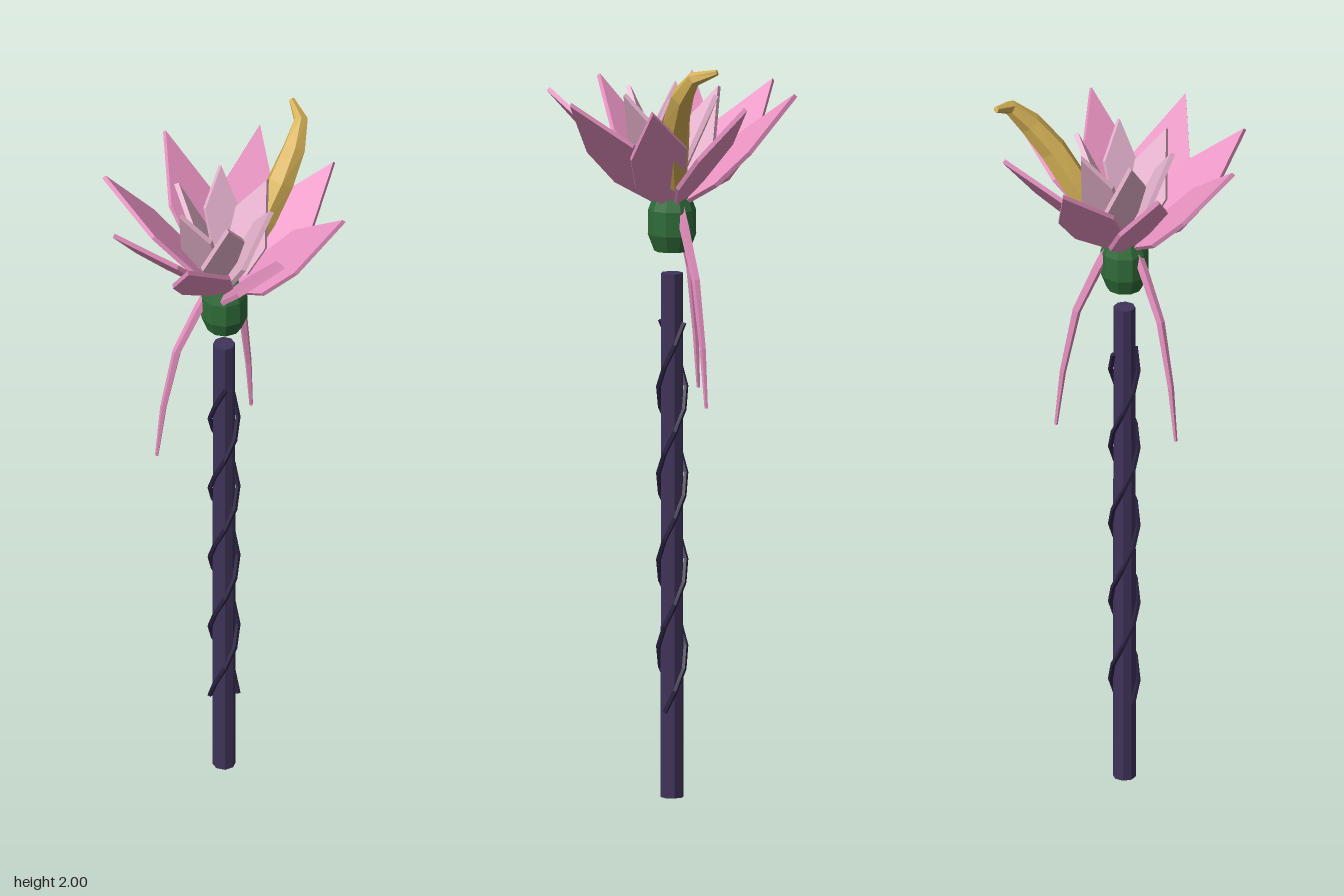
import * as THREE from 'three';

const mat = (color) => new THREE.MeshStandardMaterial({ color, flatShading: true });
const outerPink = mat(0xe892c1), innerPink = mat(0xe8b5cf), gold = mat(0xd4b056), paleGold = mat(0xe8cc6c);
const green = mat(0x2f6b38), purple = mat(0x40335a), darkPurple = mat(0x2a2140);

function mesh(name, geometry, material) {
  const m = new THREE.Mesh(geometry, material);
  m.name = name;
  return m;
}

// Closed low-poly tube through points, with one radius per point.
function loft(points, radii, sides) {
  const p = points.map((q) => new THREE.Vector3(...q));
  const last = p.length - 1, ref = new THREE.Vector3(1, 0, 0);
  const rings = p.map((c, i) => {
    const t = p[Math.min(i + 1, last)].clone().sub(p[Math.max(i - 1, 0)]).normalize();
    const n = ref.clone().cross(t).normalize(), b = t.clone().cross(n);
    return Array.from({ length: sides }, (_, j) => {
      const a = (j / sides) * Math.PI * 2;
      return c.clone().addScaledVector(n, Math.cos(a) * radii[i]).addScaledVector(b, Math.sin(a) * radii[i]);
    });
  });
  rings.unshift(rings[0].map(() => p[0]));
  rings.push(rings[0].map(() => p[last]));
  const verts = [];
  for (let i = 0; i < rings.length - 1; i++) {
    for (let j = 0; j < sides; j++) {
      const k = (j + 1) % sides;
      const [a, b, c, d] = [rings[i][j], rings[i][k], rings[i + 1][k], rings[i + 1][j]];
      for (const v of [a, b, c, a, c, d]) verts.push(v.x, v.y, v.z);
    }
  }
  const g = new THREE.BufferGeometry();
  g.setAttribute('position', new THREE.Float32BufferAttribute(verts, 3));
  g.computeVertexNormals();
  return g;
}

// Flat petal: outline in (lateral, radial), laid on a plane sloping up outward and rolled sideways.
function petalGeometry(outline, tip, slope, roll, thickness) {
  const shape = new THREE.Shape(outline.map(([x, y]) => new THREE.Vector2(x, y)));
  const g = new THREE.ExtrudeGeometry(shape, { depth: thickness, bevelEnabled: false });
  const pos = g.attributes.position;
  const n = new THREE.Vector3(-roll, 1, -slope).normalize();
  for (let i = 0; i < pos.count; i++) {
    const x = pos.getX(i), r = pos.getY(i), d = pos.getZ(i);
    const y = tip[1] + slope * (r - tip[0]) + roll * x;
    pos.setXYZ(i, x - n.x * d, y - n.y * d, r - n.z * d);
  }
  g.computeVertexNormals();
  return g;
}

function petalRing(name, geometry, material, count, startDegrees) {
  const ring = new THREE.Group();
  ring.name = name;
  for (let i = 0; i < count; i++) {
    const petal = mesh('petal', geometry, material);
    petal.rotation.y = THREE.MathUtils.degToRad(startDegrees + (i * 360) / count);
    ring.add(petal);
  }
  return ring;
}

export function createModel() {
  const model = new THREE.Group();
  model.name = 'flower';

  // Stem
  const stem = mesh('stem', new THREE.CylinderGeometry(0.029, 0.031, 1.4, 8), purple);
  stem.position.y = 0.7;
  model.add(stem);

  // Two vines winding round the stem
  for (const start of [0, Math.PI]) {
    const steps = 18, points = [];
    for (let i = 0; i <= steps; i++) {
      const a = start + (i * Math.PI) / 4;
      points.push([0.037 * Math.cos(a), 0.23 + (1.04 * i) / steps, -0.037 * Math.sin(a)]);
    }
    model.add(mesh('vine', loft(points, points.map(() => 0.007), 5), darkPurple));
  }

  // Calyx
  const calyxProfile = [[0, 1.455], [0.047, 1.46], [0.064, 1.505], [0.063, 1.57], [0.048, 1.61], [0, 1.62]];
  model.add(mesh('calyx', new THREE.LatheGeometry(calyxProfile.map(([x, y]) => new THREE.Vector2(x, y)), 10), green));

  // Petals
  const outer = petalGeometry(
    [[-0.02, 0.035], [0.02, 0.035], [0.045, 0.07], [0.066, 0.17], [0, 0.326], [-0.076, 0.216], [-0.078, 0.125]],
    [0.326, 1.887], 0.97, 0.5, 0.012);
  model.add(petalRing('outerPetals', outer, outerPink, 8, 23));
  const inner = petalGeometry(
    [[-0.02, 0.01], [0.02, 0.01], [0.045, 0.066], [0, 0.134], [-0.066, 0.085], [-0.05, 0.038]],
    [0.134, 1.89], 2, 1.05, 0.013);
  model.add(petalRing('innerPetals', inner, innerPink, 6, -2));

  // Stamen cluster
  const stamens = new THREE.Group();
  stamens.name = 'stamens';
  const column = mesh('stamenColumn', new THREE.CylinderGeometry(0.014, 0.02, 0.1, 6), paleGold);
  column.position.y = 1.65;
  const core = mesh('stamenCore', new THREE.SphereGeometry(0.03, 6, 4), paleGold);
  core.position.y = 1.705;
  stamens.add(column, core);
  for (let i = 0; i < 6; i++) {
    const a = ((i + 0.5) * Math.PI) / 3;
    const bead = mesh('stamenBead', new THREE.IcosahedronGeometry(0.011, 1), paleGold);
    bead.position.set(0.026 * Math.cos(a), 1.71, 0.026 * Math.sin(a));
    stamens.add(bead);
  }
  model.add(stamens);

  // Curved horn rising from between the petals
  model.add(mesh('horn', loft(
    [[0.05, 1.65, -0.045], [0.11, 1.75, -0.08], [0.16, 1.84, -0.115], [0.2, 1.915, -0.16], [0.222, 1.97, -0.21], [0.203, 1.99, -0.27]],
    [0.03, 0.039, 0.038, 0.032, 0.02, 0.008], 6), gold));

  // Hanging tendrils
  const droop = [[0.04, 1.585], [0.068, 1.53], [0.128, 1.4], [0.165, 1.22], [0.183, 1.065]];
  for (const degrees of [152, -80]) {
    const a = THREE.MathUtils.degToRad(degrees);
    const points = droop.map(([r, y]) => [r * Math.sin(a), y, r * Math.cos(a)]);
    model.add(mesh('tendril', loft(points, [0.014, 0.014, 0.012, 0.009, 0.005], 5), outerPink));
  }

  return model;
}
